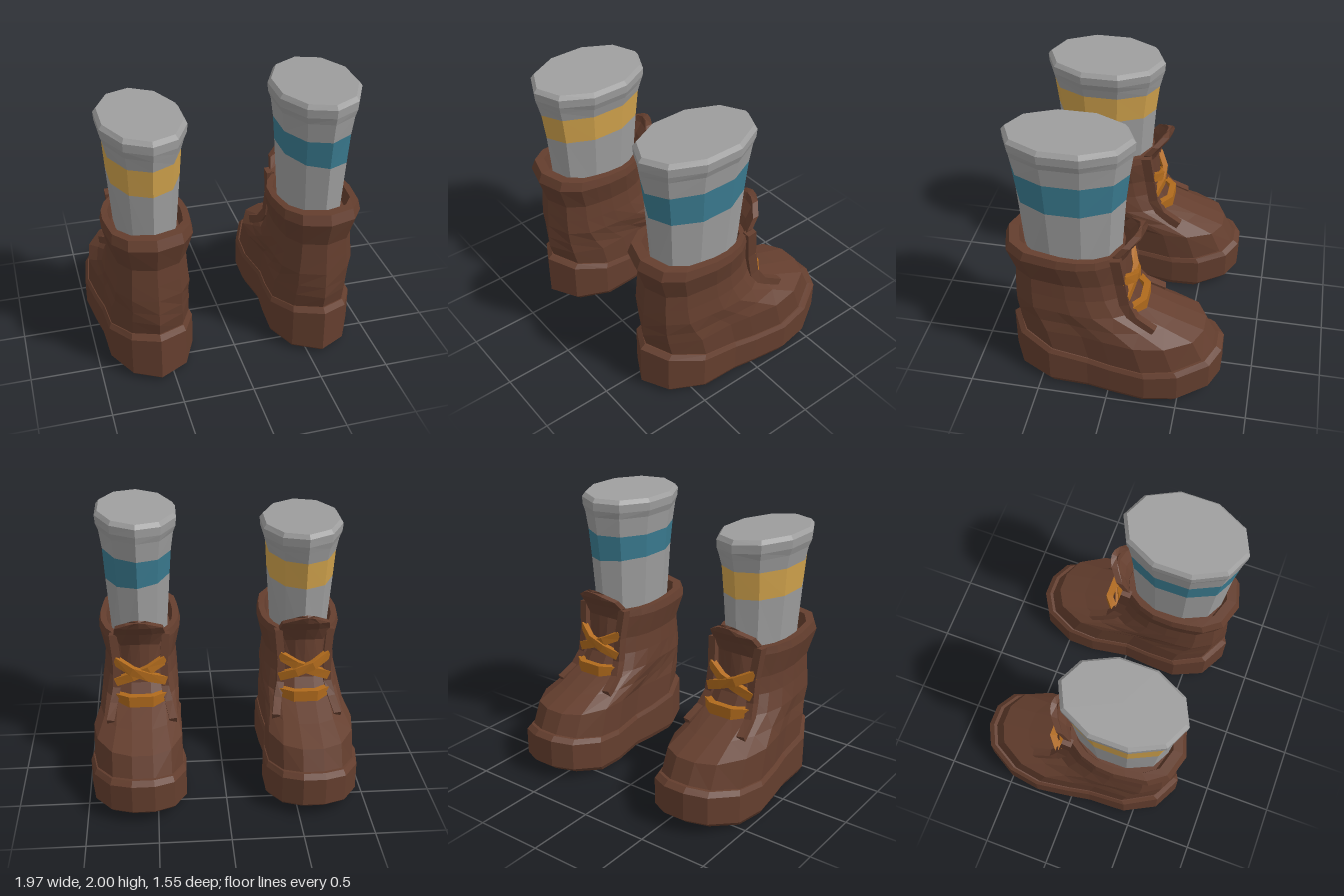
import * as THREE from 'three';

const mat = (name, color) => Object.assign(new THREE.MeshStandardMaterial({ color }), { name });

// Skin a stack of closed rings (counter-clockwise seen from the far end), flat shaded
function loft(rings, capStart = true, capEnd = true) {
  const pos = [];
  const tri = (...p) => p.forEach(v => pos.push(v.x, v.y, v.z));
  const n = rings[0].length;
  for (let i = 0; i + 1 < rings.length; i++) {
    for (let j = 0; j < n; j++) {
      const k = (j + 1) % n, lo = rings[i], hi = rings[i + 1];
      tri(lo[j], lo[k], hi[k]);
      tri(lo[j], hi[k], hi[j]);
    }
  }
  const cap = (ring, flip) => {
    const c = new THREE.Vector3();
    ring.forEach(p => c.add(p));
    c.divideScalar(n);
    ring.forEach((p, j) => {
      const q = ring[(j + 1) % n];
      flip ? tri(c, q, p) : tri(c, p, q);
    });
  };
  if (capStart) cap(rings[0], true);
  if (capEnd) cap(rings[rings.length - 1], false);
  const g = new THREE.BufferGeometry();
  g.setAttribute('position', new THREE.Float32BufferAttribute(pos, 3));
  return g;
}

// Rectangular bar along a path; side is the direction of half-size a
function bar(path, side, a, b) {
  const pts = path.map(p => new THREE.Vector3(...p));
  return loft(pts.map((p, i) => {
    const t = pts[Math.min(i + 1, pts.length - 1)].clone().sub(pts[Math.max(i - 1, 0)]).normalize();
    const s = side.clone().addScaledVector(t, -side.dot(t)).normalize();
    const nrm = t.clone().cross(s);
    return [[1, -1], [1, 1], [-1, 1], [-1, -1]].map(([u, v]) =>
      p.clone().addScaledVector(s, u * a).addScaledVector(nrm, v * b));
  }));
}

// Sole outline from heel round the outer side to the toe and back: [x, z]
const FOOT = [[0, .76], [.19, .66], [.31, .43], [.32, .15], [.35, -.02], [.385, -.27], [.35, -.5],
  [.23, -.71], [.08, -.78], [-.08, -.78], [-.22, -.7], [-.31, -.49], [-.315, -.28], [-.27, 0],
  [-.29, .2], [-.3, .42], [-.2, .65]];
// Matching x values of the symmetrical ankle shaft
const SHAFT_X = [0, .19, .28, .3, .31, .3, .26, .18, .08, -.08, -.18, -.26, -.3, -.31, -.3, -.28, -.19];

const soleTop = z => .26 + (z > -.2 ? .14 : .24) * (z + .2) ** 2;
const toeLift = z => Math.max(0, -z - .48) * .22;

function soleRing(scale, yOf) {
  return FOOT.map(([x, z]) => new THREE.Vector3(x * scale, yOf(z), z * scale));
}

// Upper ring: heights and z at back and front, width scale, blend from foot to shaft
function upperRing([yb, yf, zb, zf, w, k]) {
  return FOOT.map(([x, z], i) => {
    const t = (.76 - z) / 1.54;
    return new THREE.Vector3(
      THREE.MathUtils.lerp(x, SHAFT_X[i], k) * w,
      THREE.MathUtils.lerp(yb, yf, t),
      THREE.MathUtils.lerp(zb, zf, t));
  });
}

// Curved tongue section
function tongueRing([y, z, hw, bend, thick]) {
  const us = [1, .5, 0, -.5, -1];
  const at = (u, dz) => new THREE.Vector3(u * hw, y - .03 * u * u, z + bend * u * u + dz);
  return [...us.map(u => at(u, 0)), ...us.slice().reverse().map(u => at(u, thick))];
}

// Ten-sided sock ring, tilted across its width
function sockRing([y, hx, hz, tilt]) {
  return Array.from({ length: 10 }, (_, i) => {
    const a = i * Math.PI / 5, x = Math.sin(a) * hx;
    return new THREE.Vector3(x, y + tilt * x, .295 + Math.cos(a) * hz);
  });
}

function buildBoot(name, s, m, bandMat, ys) {
  const boot = new THREE.Group();
  boot.name = name;
  const add = (part, geo, material) => {
    if (s < 0) { // mirror and restore the corner order
      const p = geo.attributes.position;
      for (let i = 0; i < p.count; i += 3) {
        const [b, c] = [1, 2].map(k => [-p.getX(i + k), p.getY(i + k), p.getZ(i + k)]);
        p.setX(i, -p.getX(i));
        p.setXYZ(i + 1, ...c);
        p.setXYZ(i + 2, ...b);
      }
    }
    geo.computeVertexNormals();
    const mesh = new THREE.Mesh(geo, material);
    mesh.name = part;
    boot.add(mesh);
  };

  add('sole', loft([
    soleRing(.94, toeLift),
    soleRing(1, z => .04 + toeLift(z)),
    soleRing(1, z => soleTop(z) - .03),
    soleRing(.95, soleTop),
  ]), m.leather);

  // Foot, ankle shaft and padded collar
  add('upper', loft([
    soleRing(.93, z => soleTop(z) - .02),
    ...[
      [.48, .48, .735, -.645, .92, 0],
      [.57, .56, .735, -.43, .9, .5],
      [.68, .655, .73, -.2, .92, .8],
      [.8, .78, .72, -.12, .88, 1],
      [.92, .9, .71, -.09, .85, 1],
      [1.11, 1.07, .77, -.07, .99, 1],
      [1.18, 1.12, .74, -.06, .95, 1],
      [1.18, 1.12, .67, -.02, .8, 1],
      [1.06, 1.04, .64, 0, .74, 1],
    ].map(upperRing),
  ]), m.leather);

  // Raised lacing edges
  for (const e of [1, -1]) {
    add('laceFlap', bar([[.19, 1.14, -.04], [.17, .92, -.07], [.175, .74, -.1],
      [.2, .63, -.17], [.225, .555, -.31]].map(([x, y, z]) => [x * e, y, z]),
      new THREE.Vector3(1, 0, 0), .028, .036), m.leather);
  }

  add('tongue', loft([
    [.85, -.12, .12, .03, .05],
    [1.08, -.11, .14, .06, .05],
    [1.18, -.16, .185, .09, .05],
    [1.25, -.21, .17, .08, .05],
    [1.3, -.225, .09, .03, .05],
  ].map(tongueRing)), m.leather);

  // One straight lace and a crossed pair
  const up = new THREE.Vector3(0, 1, 0);
  add('lowerLace', bar([[-.17, .67, -.14], [-.08, .68, -.215], [.08, .68, -.215], [.17, .67, -.14]],
    up, .042, .025), m.lace);
  for (const e of [1, -1]) {
    const d = e > 0 ? 0 : .015;
    add('crossLace', bar([[-.18 * e, .79, -.11], [-.06 * e, .84, -.15 + d], [.06 * e, .89, -.15 + d],
      [.18 * e, .95, -.085]], up, .032, .02), m.lace);
  }

  // Sock with a coloured band and a rolled rim
  const [y0, y1, bandTilt] = ys.band, top = ys.top;
  const lower = [y0, .245, .375, -bandTilt], upper = [y1, .258, .4, bandTilt];
  add('sockLower', loft([[1, .21, .34, 0], lower].map(sockRing), true, false), m.sock);
  add('sockBand', loft([lower, upper].map(sockRing), false, false), bandMat);
  add('sockTop', loft([
    upper,
    [top - .14, .278, .422, .05],
    [top - .09, .298, .436, .05],
    [top - .03, .303, .44, .05],
    [top, .28, .415, .05],
  ].map(sockRing), false, true), m.sock);

  boot.position.x = .6 * s;
  return boot;
}

export function createModel() {
  const m = {
    leather: mat('brown leather', 0x643e2e),
    lace: mat('orange lace', 0xb06a1c),
    sock: mat('grey wool', 0x9e9e9e),
  };
  const model = new THREE.Group();
  model.name = 'bootsWithSocks';
  model.add(
    buildBoot('leftBoot', 1, m, mat('teal band', 0x3a7b90), { band: [1.5, 1.705, .06], top: 1.985 }),
    buildBoot('rightBoot', -1, m, mat('yellow band', 0xd0a24c), { band: [1.46, 1.66, 0], top: 1.885 }));
  return model;
}
